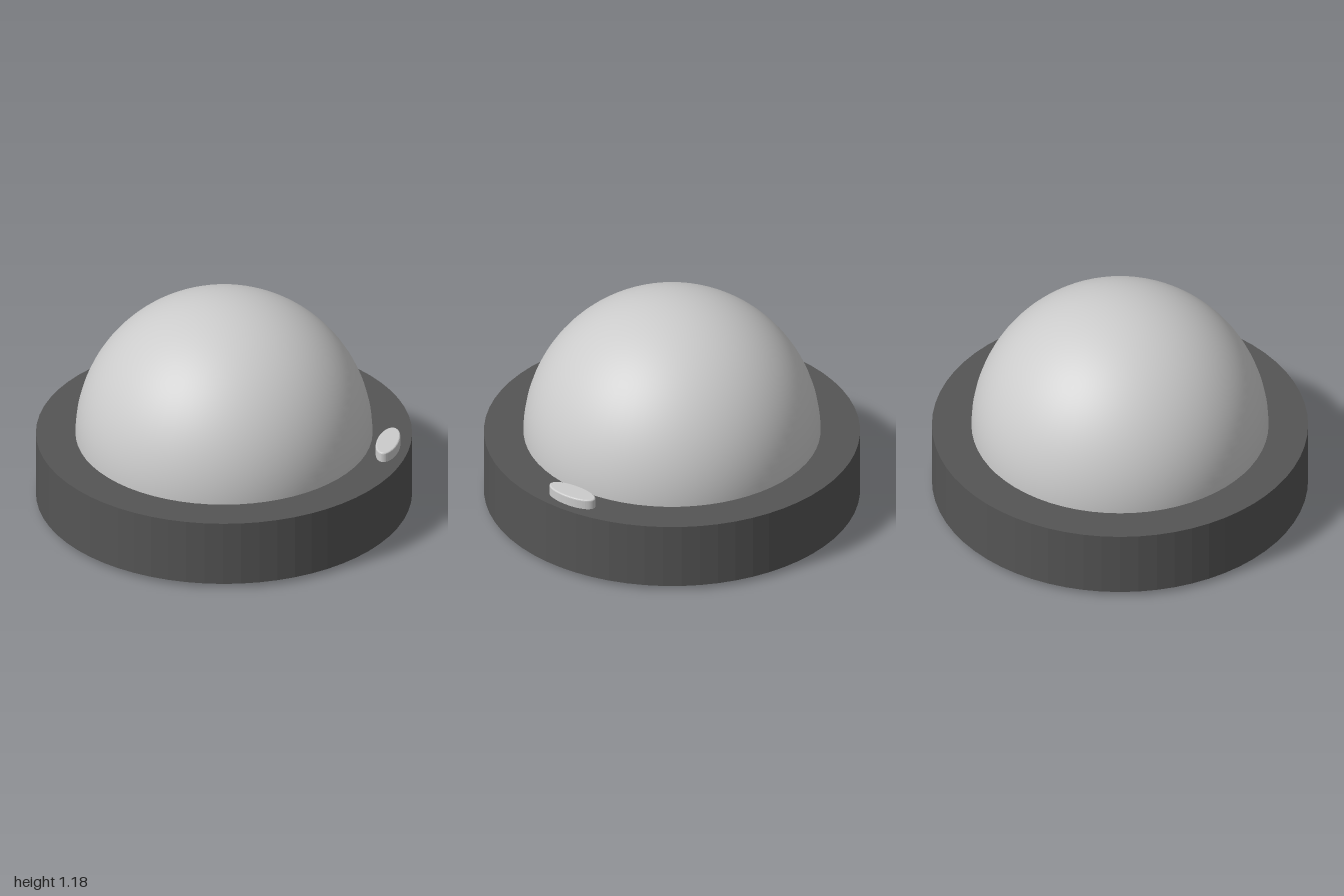
import * as THREE from 'three';

const BASE_BOTTOM = 0.025, BASE_TOP = 0.39, DOME_R = 0.79;

export function createModel() {
  const group = new THREE.Group();
  const dark = new THREE.MeshStandardMaterial({ color: 0x555555, flatShading: true });
  const darkSmooth = new THREE.MeshStandardMaterial({ color: 0x555555 });
  const light = new THREE.MeshStandardMaterial({ color: 0xcccccc });

  const add = (name, geometry, material, x = 0, y = 0, z = 0) => {
    const mesh = new THREE.Mesh(geometry, material);
    mesh.name = name;
    mesh.position.set(x, y, z);
    group.add(mesh);
    return mesh;
  };

  // Round base, with a ring-shaped groove in its underside
  const groove = BASE_BOTTOM + 0.035;
  const profile = [
    [0, BASE_BOTTOM], [0.525, BASE_BOTTOM], [0.525, groove], [0.77, groove],
    [0.77, BASE_BOTTOM], [1, BASE_BOTTOM], [1, BASE_TOP], [0, BASE_TOP],
  ].map(([r, y]) => new THREE.Vector2(r, y));
  add('base', new THREE.LatheGeometry(profile, 64), dark);

  // Smooth hemispherical dome
  add('dome', new THREE.SphereGeometry(DOME_R, 64, 32, 0, Math.PI * 2, 0, Math.PI / 2),
    light, 0, BASE_TOP, 0);

  // Oval button with a softened top edge, lying on the rim
  const bevel = 0.008, height = 0.055;
  const oval = new THREE.Shape();
  oval.absellipse(0, 0, 0.06 - bevel, 0.145 - bevel, 0, Math.PI * 2);
  const buttonGeometry = new THREE.ExtrudeGeometry(oval, {
    depth: height - bevel, bevelSize: bevel, bevelThickness: bevel,
    bevelSegments: 3, curveSegments: 24,
  });
  buttonGeometry.rotateX(-Math.PI / 2);
  add('button', buttonGeometry, light, 0.89, BASE_TOP, 0);

  // Four small feet
  const footGeometry = new THREE.CylinderGeometry(0.052, 0.052, BASE_BOTTOM, 24);
  for (const x of [-0.595, 0.595])
    for (const z of [-0.595, 0.595])
      add('foot', footGeometry, darkSmooth, x, BASE_BOTTOM / 2, z);

  return group;
}
